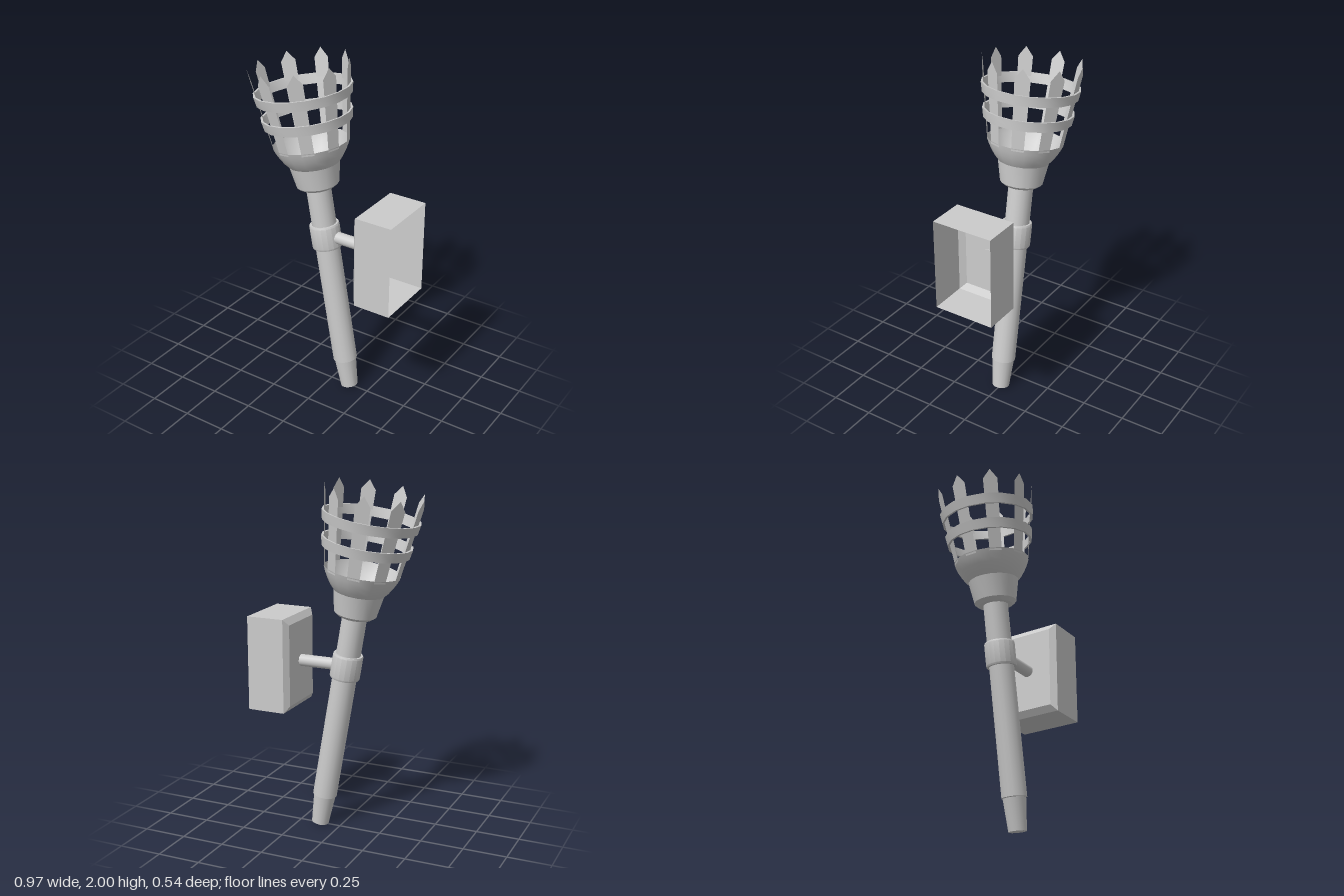
import * as THREE from 'three';
import { toCreasedNormals } from 'three/addons/utils/BufferGeometryUtils.js';

const SIDES = 18;
const TILT = 0.17;
const material = new THREE.MeshStandardMaterial({ color: 0xcccccc, side: THREE.DoubleSide });

function addMesh(parent, name, geometry) {
  const mesh = new THREE.Mesh(geometry, material);
  mesh.name = name;
  parent.add(mesh);
  return mesh;
}

// Turned part from [radius, height] pairs listed bottom to top
function turned(profile) {
  const points = profile.map(([r, y]) => new THREE.Vector2(r, y));
  return toCreasedNormals(new THREE.LatheGeometry(points, SIDES), 0.5);
}

// Open shell through rectangular sections [x, halfHeight, halfDepth], closed at the first one
function rectangularShell(sections) {
  const corners = sections.map(([x, h, d]) => [[x, -h, -d], [x, -h, d], [x, h, d], [x, h, -d]]);
  const positions = [];
  const quad = (a, b, c, d) => positions.push(...a, ...b, ...c, ...a, ...c, ...d);
  quad(...corners[0]);
  for (let s = 0; s < corners.length - 1; s++) {
    for (let i = 0; i < 4; i++) {
      const j = (i + 1) % 4;
      quad(corners[s][j], corners[s][i], corners[s + 1][i], corners[s + 1][j]);
    }
  }
  const geometry = new THREE.BufferGeometry();
  geometry.setAttribute('position', new THREE.Float32BufferAttribute(positions, 3));
  geometry.computeVertexNormals();
  return geometry;
}

export function createModel() {
  const model = new THREE.Group();
  model.name = 'wallTorch';

  // Leaning torch, built along its own vertical axis
  const torch = new THREE.Group();
  torch.name = 'torch';
  torch.position.set(0.125, 0.009, 0);
  torch.rotation.z = TILT;
  model.add(torch);

  addMesh(torch, 'handleTip', turned([[0, 0], [0.05, 0], [0.064, 0.18]]));
  addMesh(torch, 'shaft', turned([[0.064, 0.178], [0.07, 0.181], [0.07, 1.29]]));
  addMesh(torch, 'collar', turned([
    [0.07, 0.908], [0.082, 0.908], [0.086, 0.918], [0.086, 1.04], [0.082, 1.05], [0.07, 1.05],
  ]));

  // Cup: socket, flared bowl and inner floor
  addMesh(torch, 'cup', turned([
    [0.07, 1.27], [0.095, 1.27], [0.119, 1.288], [0.142, 1.412],
    [0.162, 1.435], [0.184, 1.47], [0.202, 1.505], [0.213, 1.535],
  ]));
  const floor = addMesh(torch, 'cupFloor', new THREE.CircleGeometry(0.141, SIDES));
  floor.rotation.set(-Math.PI / 2, 0, Math.PI / 18);
  floor.position.y = 1.412;

  // Pointed slats standing on the bowl rim
  const slatBase = 0.208, slatTop = 0.276, slatRise = 0.45;
  const length = Math.hypot(slatRise, slatTop - slatBase);
  const slatShape = new THREE.Shape([
    [-0.034, -0.01], [0.034, -0.01], [0.041, length - 0.055], [0, length], [-0.041, length - 0.055],
  ].map(([x, y]) => new THREE.Vector2(x, y)));
  const slatGeometry = new THREE.ShapeGeometry(slatShape);
  slatGeometry.rotateX(Math.atan2(slatTop - slatBase, slatRise));
  slatGeometry.translate(0, 1.53, slatBase);
  for (let i = 0; i < 9; i++) {
    const slat = addMesh(torch, 'slat', slatGeometry);
    slat.rotation.y = -Math.PI / 2 + (i * Math.PI * 2) / 9;
  }

  // Two flat hoops around the slats
  for (const [name, y, r] of [['lowerHoop', 1.644, 0.242], ['upperHoop', 1.783, 0.261]]) {
    const t = 0.012, h = 0.055, flare = 0.01;
    addMesh(torch, name, turned([
      [r - t, y], [r, y], [r + flare, y + h], [r + flare - t, y + h], [r - t, y],
    ]));
  }

  // Horizontal arm from the collar to the wall box
  const arm = addMesh(model, 'arm', new THREE.CylinderGeometry(0.034, 0.034, 0.26, SIDES));
  arm.rotation.z = Math.PI / 2;
  arm.position.set(0.115, 0.977, 0);

  // Hollow wall box, bevelled toward the torch and open at the wall
  const box = addMesh(model, 'wallBox', rectangularShell([
    [0.24, 0.234, 0.147], [0.265, 0.27, 0.18], [0.484, 0.27, 0.18],
  ]));
  box.position.y = 0.975;

  return model;
}
